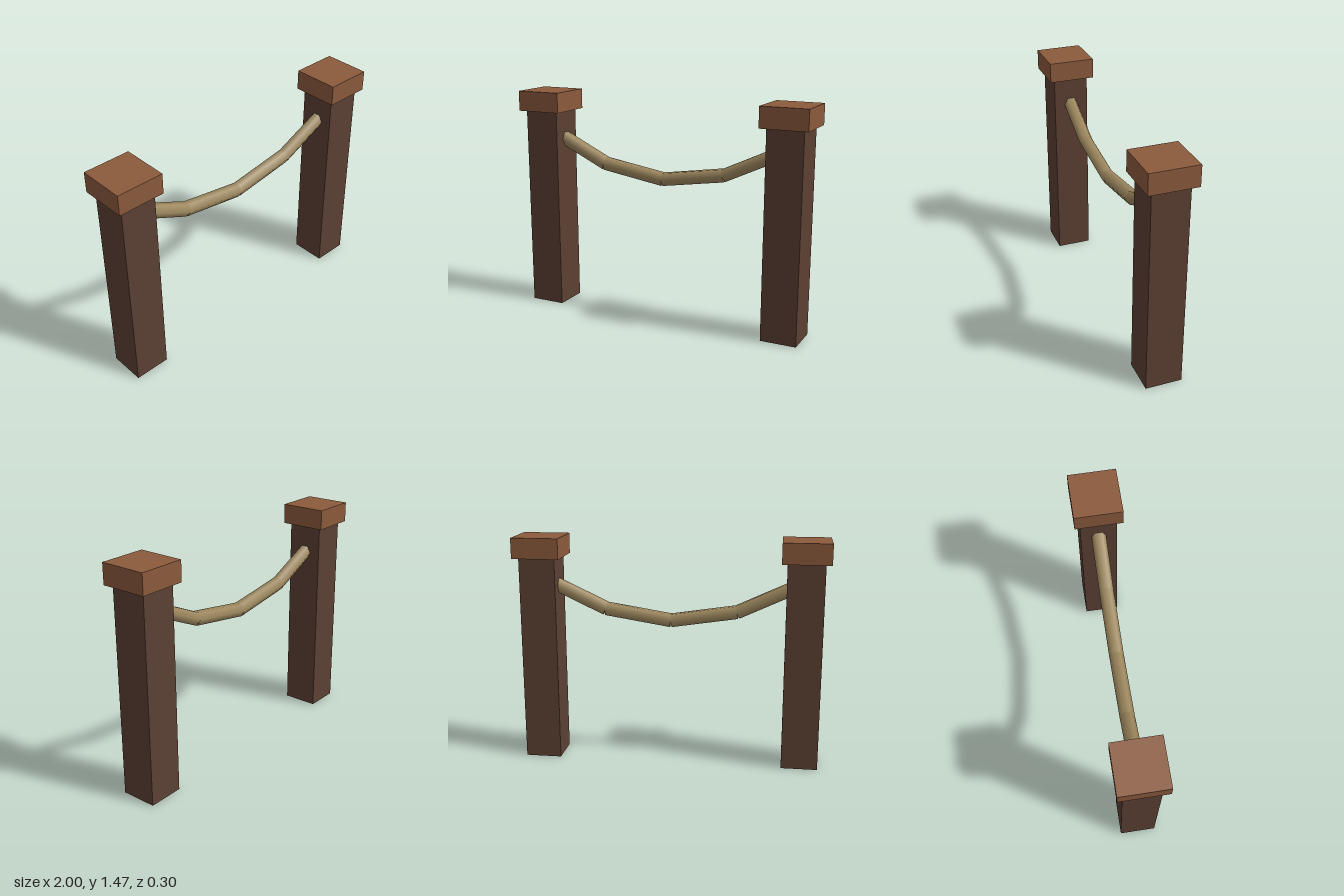
import * as THREE from 'three';

const POST_X = 0.848;

export function createModel() {
  const model = new THREE.Group();
  model.name = 'ropeBarrier';
  const postMaterial = new THREE.MeshStandardMaterial({ color: 0x5c4033 });
  const capMaterial = new THREE.MeshStandardMaterial({ color: 0x8b5a3c });
  const ropeMaterial = new THREE.MeshStandardMaterial({ color: 0xa08a60 });

  const addBox = (name, width, bottom, top, x, material) => {
    const mesh = new THREE.Mesh(new THREE.BoxGeometry(width, top - bottom, width), material);
    mesh.position.set(x, (bottom + top) / 2, 0);
    mesh.name = name;
    model.add(mesh);
  };

  // Square posts with wider caps
  for (const [side, x] of [['left', POST_X], ['right', -POST_X]]) {
    addBox(side + 'Post', 0.233, 0, 1.335, x, postMaterial);
    addBox(side + 'Cap', 0.303, 1.335, 1.467, x, capMaterial);
  }

  // Sagging rope: straight six-sided segments along a parabola between the post centres
  const segments = 4;
  const ropePoint = (i) => {
    const t = (2 * i) / segments - 1;
    return new THREE.Vector3(POST_X * t, 0.935 + 0.265 * t * t, 0);
  };
  const rope = new THREE.Group();
  rope.name = 'rope';
  for (let i = 0; i < segments; i++) {
    const a = ropePoint(i);
    const b = ropePoint(i + 1);
    const segment = new THREE.Mesh(
      new THREE.CylinderGeometry(0.0465, 0.0465, a.distanceTo(b), 6),
      ropeMaterial
    );
    segment.position.addVectors(a, b).multiplyScalar(0.5);
    segment.rotation.z = Math.atan2(b.y - a.y, b.x - a.x) - Math.PI / 2;
    segment.name = 'ropeSegment' + (i + 1);
    rope.add(segment);
  }
  model.add(rope);

  return model;
}
